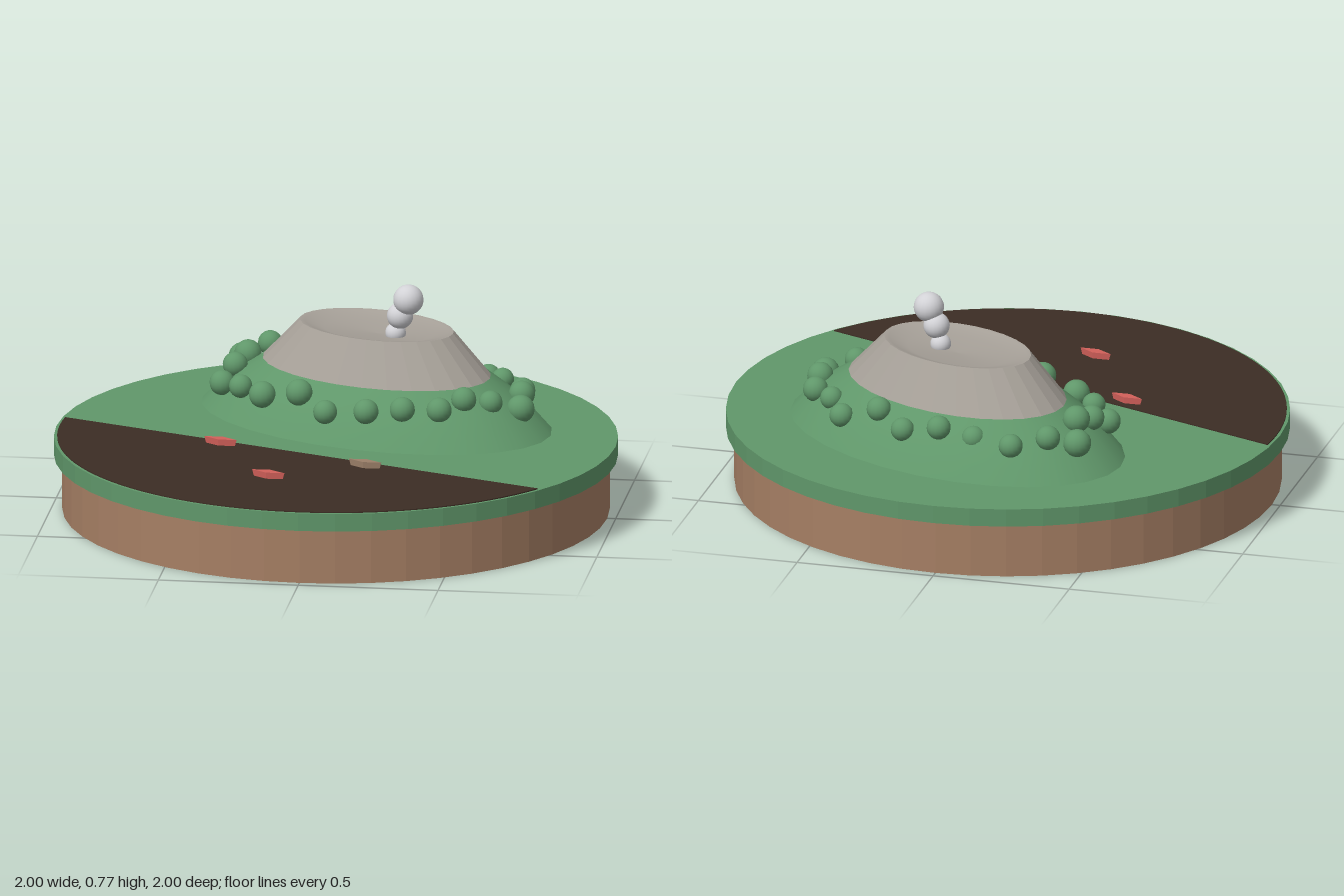
import * as THREE from 'three';

const mat = (name, color, extra = {}) => {
  const m = new THREE.MeshStandardMaterial({ color, ...extra });
  m.name = name;
  return m;
};

export function createModel() {
  const group = new THREE.Group();
  const flat = { flatShading: true };
  const grass = mat('grass green', 0x60976a);
  const earth = mat('earth brown', 0xa67f64);
  const soil = mat('dark soil', 0x3c2d24);
  const rock = mat('rock grey', 0xa59f97);
  const smoke = mat('smoke white', 0xd2d2d6);
  const red = mat('red', 0xd2605a);
  const tan = mat('tan', 0x9c8069);

  const add = (name, geo, material, x = 0, y = 0, z = 0, parent = group) => {
    const mesh = new THREE.Mesh(geo, material);
    mesh.name = name;
    mesh.position.set(x, y, z);
    parent.add(mesh);
    return mesh;
  };
  // faceted copy of a geometry: split the corners, then recompute normals
  const facet = (geo) => {
    const g = geo.toNonIndexed();
    g.computeVertexNormals();
    return g;
  };

  // round base with a grass slab on top
  add('base', facet(new THREE.CylinderGeometry(0.97, 0.97, 0.2, 48)), earth, 0, 0.1, 0);
  add('grassSlab', facet(new THREE.CylinderGeometry(1, 1, 0.065, 48)), grass, 0, 0.2325, 0);

  // dark soil covering a segment of the slab
  const rad = THREE.MathUtils.degToRad;
  const segment = new THREE.Shape();
  segment.absarc(0, 0, 0.988, rad(-186), rad(-36), false);
  const soilGeo = new THREE.ExtrudeGeometry(segment, { depth: 0.004, bevelEnabled: false, curveSegments: 24 });
  soilGeo.rotateX(-Math.PI / 2);
  add('soilField', soilGeo, soil, 0, 0.265, 0);

  // oval mountain: unit lathes stretched into a tilted ellipse
  const mountain = new THREE.Group();
  mountain.name = 'mountain';
  mountain.position.set(0.108, 0, -0.28);
  mountain.rotation.y = rad(-23);
  group.add(mountain);
  const oval = (pts, faceted) => {
    const g = new THREE.LatheGeometry(pts.map(([r, y]) => new THREE.Vector2(r, y)), 28);
    g.scale(0.68, 1, 0.431);
    return faceted ? facet(g) : g;
  };
  add('greenSlope', oval([[1, 0.262], [0.92, 0.315], [0.8, 0.385], [0.648, 0.45]], false), grass, 0, 0, 0, mountain);
  add('rockCone', oval([[0.648, 0.45], [0.437, 0.6]], true), rock, 0, 0, 0, mountain);
  add('crater', oval([[0.437, 0.6], [0.41, 0.598], [0.3, 0.578], [0, 0.57]], false), rock, 0, 0, 0, mountain);

  // ring of bushes: x, y, z, radius
  const bushes = [
    [-0.41, 0.385, -0.565, 0.05], [-0.32, 0.42, -0.63, 0.044], [-0.19, 0.385, -0.655, 0.043],
    [-0.045, 0.39, -0.625, 0.043], [0.08, 0.42, -0.635, 0.043], [0.22, 0.39, -0.61, 0.042],
    [0.33, 0.425, -0.525, 0.044], [0.48, 0.37, -0.48, 0.043], [0.545, 0.39, -0.375, 0.041],
    [0.63, 0.38, -0.28, 0.045], [0.64, 0.395, -0.18, 0.047], [0.65, 0.37, -0.075, 0.05],
    [0.55, 0.405, -0.02, 0.043], [0.46, 0.425, 0.025, 0.045], [0.38, 0.4, 0.085, 0.045],
    [0.25, 0.4, 0.095, 0.045], [0.12, 0.388, 0.095, 0.045], [-0.03, 0.372, 0.065, 0.043],
    [-0.135, 0.415, -0.025, 0.048], [-0.275, 0.385, -0.085, 0.048], [-0.365, 0.385, -0.18, 0.042],
    [-0.445, 0.367, -0.28, 0.045], [-0.41, 0.41, -0.37, 0.045], [-0.375, 0.43, -0.45, 0.049],
  ];
  bushes.forEach(([x, y, z, r]) => add('bush', new THREE.SphereGeometry(r, 16, 12), grass, x, y, z));

  // smoke puffs rising from the crater
  [[0.18, 0.585, -0.245, 0.037], [0.197, 0.65, -0.238, 0.047], [0.228, 0.713, -0.228, 0.054]].forEach(
    ([x, y, z, r]) => add('smokePuff', new THREE.SphereGeometry(r, 20, 14), smoke, x, y, z));

  // small diamond markers on the soil
  [[-0.39, 0.17, red], [-0.165, 0.57, red], [0.157, 0.39, tan]].forEach(([x, z, m]) => {
    const g = new THREE.CylinderGeometry(0.063, 0.056, 0.024, 4);
    g.rotateY(Math.PI / 2);
    g.scale(1, 1, 0.32);
    add('marker', facet(g), m, x, 0.28, z).rotation.y = rad(-17);
  });

  return group;
}
